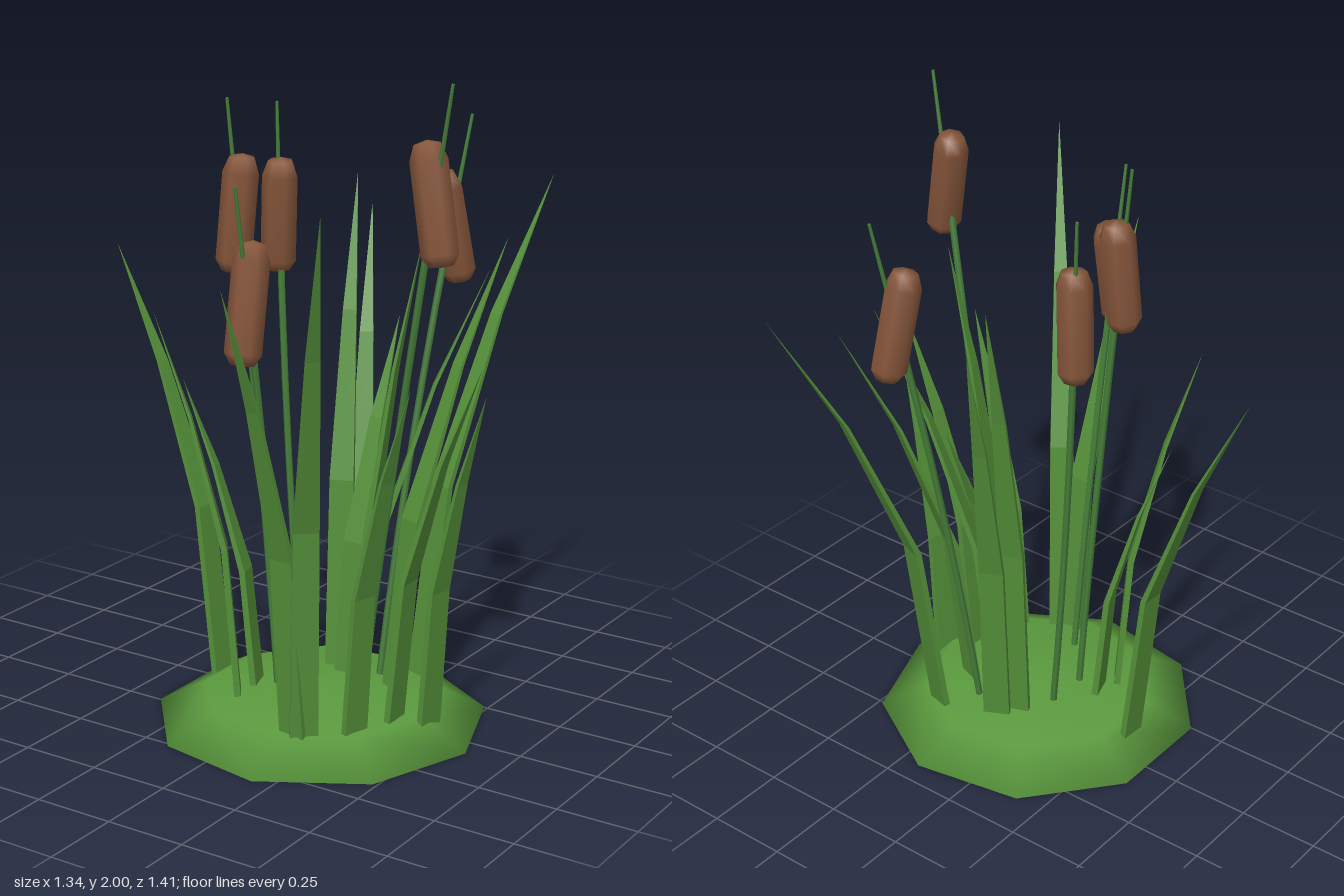
import * as THREE from 'three';

const material = (name, color, side = THREE.FrontSide) => {
  const m = new THREE.MeshStandardMaterial({ color, side });
  m.name = name;
  return m;
};

// Leaf blade: a thin flat strip that bends outward and narrows from base to tip.
function bladeGeometry([bx, bz], [tx, ty, tz]) {
  const lean = new THREE.Vector3(tx - bx, 0, tz - bz);
  const n = lean.clone().normalize();
  const s = new THREE.Vector3(0, 1, 0).cross(n);
  const y0 = 0.05, halfThick = 0.01, halfWide = 0.042;
  // height share, lean share, width share
  const rings = [[0, 0, 1], [0.41, 0.165, 0.9], [0.74, 0.57, 0.5], [1, 1, 0.01]];
  const positions = [], index = [];
  rings.forEach(([h, l, w], r) => {
    const c = new THREE.Vector3(bx, y0 + (ty - y0) * h, bz).addScaledVector(lean, l);
    [[1, -1], [1, 1], [-1, 1], [-1, -1]].forEach(([dn, ds], i) => {
      const p = c.clone().addScaledVector(n, dn * halfThick * w).addScaledVector(s, ds * halfWide * w);
      positions.push(p.x, p.y, p.z);
      if (r === 0) return;
      const a = (r - 1) * 4 + i, b = (r - 1) * 4 + (i + 1) % 4;
      index.push(a, b, a + 4, b, b + 4, a + 4);
    });
  });
  index.push(0, 2, 1, 0, 3, 2);
  const g = new THREE.BufferGeometry();
  g.setAttribute('position', new THREE.Float32BufferAttribute(positions, 3));
  g.setIndex(index);
  const flat = g.toNonIndexed();
  flat.computeVertexNormals();
  return flat;
}

export function createModel() {
  const model = new THREE.Group();
  model.name = 'reedClump';
  const grass = material('moundGreen', 0x5b9a3e, THREE.DoubleSide);
  const leaf = material('leafGreen', 0x548f39);
  const stalk = material('stalkGreen', 0x47803a);
  const brown = material('seedBrown', 0x85553a);

  const add = (parent, name, geometry, mat) => {
    const mesh = new THREE.Mesh(geometry, mat);
    mesh.name = name;
    parent.add(mesh);
    return mesh;
  };

  // Low nine-sided dome, open underneath
  const mound = add(model, 'mound',
    new THREE.SphereGeometry(0.51, 9, 2, 0, Math.PI * 2, 0, Math.PI / 2), grass);
  mound.scale.y = 0.22;
  mound.rotation.y = Math.PI;
  mound.position.set(0.095, 0, 0.072);

  // Leaves: base (x, z) and tip (x, y, z)
  const leaves = [
    [[-0.28, 0.06], [-0.67, 1.375, 0.045]],
    [[-0.09, 0.14], [-0.305, 1.035, 0.21]],
    [[-0.10, 0.23], [-0.295, 1.28, 0.365]],
    [[0.20, 0.38], [0.185, 1.47, 0.70]],
    [[0.23, 0.37], [0.50, 1.705, 0.70]],
    [[0.34, 0.27], [0.56, 1.17, 0.34]],
    [[0.39, 0.13], [0.67, 1.20, 0.135]],
    [[0.47, 0.06], [0.665, 1.11, 0.10]],
    [[0.26, 0.11], [0.435, 1.53, 0.07]],
    [[0.19, -0.02], [0.508, 1.40, -0.19]],
    [[0.28, -0.04], [0.437, 1.44, -0.425]],
    [[0.28, -0.20], [0.44, 1.59, -0.705]],
    [[0.11, -0.05], [0.12, 1.18, -0.33]],
    [[0.09, -0.15], [-0.03, 1.50, -0.41]],
    [[0.05, -0.10], [-0.03, 1.61, -0.325]],
  ];
  leaves.forEach(([base, tip]) => add(model, 'leaf', bladeGeometry(base, tip), leaf));

  // Cattails: base, seed head centre, spike tip
  const cattails = [
    [[0.25, 0.05, 0.10], [0.548, 1.665, 0.205], [0.615, 2.0, 0.23]],
    [[0.115, 0.05, 0.28], [0.12, 1.385, 0.48], [0.122, 1.72, 0.54]],
    [[0.19, 0.05, -0.11], [0.292, 1.48, -0.335], [0.325, 1.81, -0.395]],
    [[-0.015, 0.05, 0.0], [-0.148, 1.51, -0.073], [-0.17, 1.845, -0.093]],
    [[-0.02, 0.05, 0.13], [-0.122, 1.56, 0.18], [-0.147, 1.895, 0.195]],
  ];
  const headProfile = [[0, -0.175], [0.035, -0.172], [0.055, -0.14], [0.055, 0.12], [0.038, 0.165], [0, 0.175]]
    .map(([r, y]) => new THREE.Vector2(r, y));
  const up = new THREE.Vector3(0, 1, 0);
  cattails.forEach(points => {
    const [base, head, tip] = points.map(p => new THREE.Vector3(...p));
    const axis = tip.clone().sub(head);
    const group = new THREE.Group();
    group.name = 'cattail';
    model.add(group);

    // Stalk bends gently towards the head
    const control = head.clone().addScaledVector(axis, -0.5 * (head.y - base.y) / axis.y);
    const curve = new THREE.QuadraticBezierCurve3(base, control, head);
    add(group, 'stalk', new THREE.TubeGeometry(curve, 6, 0.011, 5), stalk);

    // Seed head tips back against the lean of its stalk
    const seedHead = add(group, 'seedHead', new THREE.LatheGeometry(headProfile, 7), brown);
    seedHead.position.copy(head);
    seedHead.quaternion.setFromUnitVectors(up, new THREE.Vector3(-axis.x, axis.y, -axis.z).normalize());

    const spike = add(group, 'spike', new THREE.CylinderGeometry(0.005, 0.008, axis.length(), 5), stalk);
    spike.position.copy(head).addScaledVector(axis, 0.5);
    spike.quaternion.setFromUnitVectors(up, axis.clone().normalize());
  });
  return model;
}
